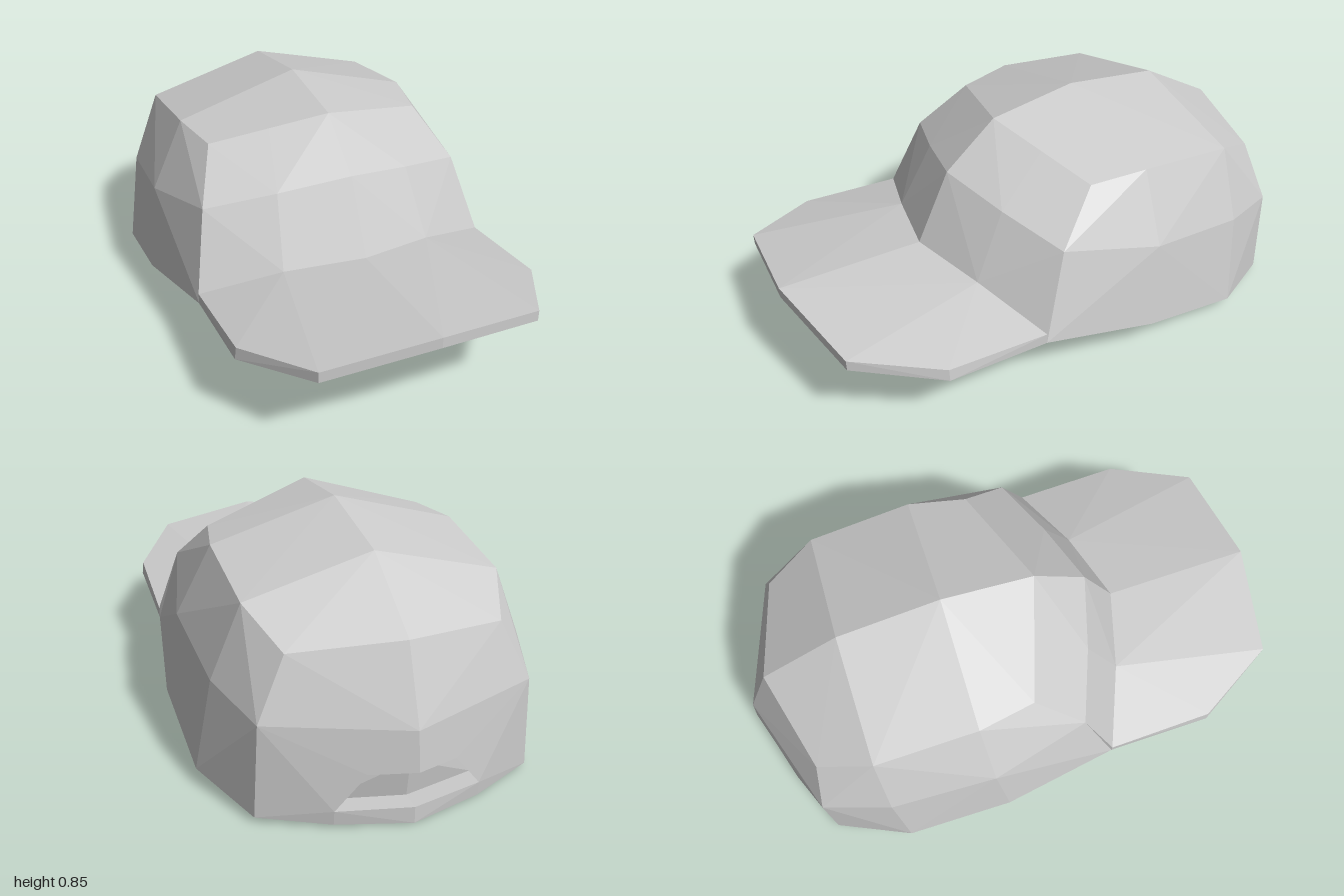
import * as THREE from 'three';

const vec = (a, b) => new THREE.Vector3(b[0] - a[0], b[1] - a[1], b[2] - a[2]);

// Split a polygon into triangles; four-sided ones fold along their outward diagonal
function triangles(p) {
  if (p.length === 4) {
    const height = vec(p[0], p[1]).cross(vec(p[0], p[3])).dot(vec(p[0], p[2]));
    if (height < 0) p = [p[1], p[2], p[3], p[0]];
  }
  return p.slice(2).map((c, i) => [p[0], p[i + 1], c]);
}

// Faceted mesh from polygons of the +x half (counter-clockwise from outside), mirrored to -x
function halfMesh(name, polygons) {
  const pos = [];
  for (const tri of polygons.flatMap(triangles)) {
    for (const v of tri) pos.push(...v);
    for (const v of tri.reverse()) pos.push(-v[0], v[1], v[2]);
  }
  const geo = new THREE.BufferGeometry();
  geo.setAttribute('position', new THREE.Float32BufferAttribute(pos, 3));
  geo.computeVertexNormals();
  const mesh = new THREE.Mesh(geo, new THREE.MeshStandardMaterial({
    color: 0xcccccc, flatShading: true, side: THREE.DoubleSide,
  }));
  mesh.name = name;
  return mesh;
}

// Quads between two matching rows of points
const strip = (low, high) => low.slice(1).map((p, i) => [low[i], p, high[i + 1], high[i]]);

export function createModel() {
  const cap = new THREE.Group();
  cap.name = 'cap';

  // Crown ridge from front to back, and the seam beside it
  const ridge = [[0, 0.81, 0.13], [0, 0.845, -0.21], [0, 0.78, -0.59], [0, 0.6, -0.885]];
  const seam = [[0.41, 0.708, 0], [0.45, 0.715, -0.21], [0.445, 0.66, -0.59], [0.365, 0.565, -0.787]];
  // Middle ring: two side points between the front and back corners, then the back centre
  const mid = [[0.495, 0.55, 0.17], [0.575, 0.465, -0.19], [0.55, 0.4, -0.58], [0.465, 0.355, -0.825]];
  const midBack = [0, 0.34, -0.985];
  // Bottom ring, front corner to back centre
  const base = [[0.56, 0.24, 0.28], [0.62, 0.15, -0.15], [0.605, 0.06, -0.55],
    [0.48, 0.022, -0.82], [0.25, 0.01, -0.92], [0, 0.0, -0.98]];
  // Front panel rows, from the brim joint up to the top
  const joint = [[0, 0.395, 0.46], [0.28, 0.365, 0.385], [0.56, 0.28, 0.28]];
  const frontMid = [[0, 0.655, 0.33], [0.25, 0.605, 0.26], mid[0]];
  const frontTop = [ridge[0], [0.205, 0.759, 0.065], seam[0]];
  // Back opening, top centre round to bottom centre
  const hole = [[0, 0.2, -1.0], [0.15, 0.192, -0.95], [0.25, 0.062, -0.925], [0, 0.06, -0.98]];

  cap.add(halfMesh('crownTop', strip(seam, ridge)));
  cap.add(halfMesh('crownFront', [...strip(joint, frontMid), ...strip(frontMid, frontTop)]));
  cap.add(halfMesh('crownSides', [
    ...strip(mid, seam),
    [mid[0], joint[2], base[0]],
    ...strip(base.slice(0, 4), mid),
  ]));
  cap.add(halfMesh('crownBack', [
    [mid[3], midBack, ridge[3], seam[3]],
    [mid[3], hole[1], hole[0], midBack],
    [mid[3], base[3], hole[2], hole[1]],
  ]));
  cap.add(halfMesh('backStrap', [
    [base[3], base[4], hole[2]],
    [base[4], base[5], hole[3], hole[2]],
  ]));

  // Opening: wall thickness and the panel behind it
  const inner = hole.map(([x, y, z]) => [x, y, z + 0.07]);
  cap.add(halfMesh('openingEdge', strip(inner, hole)));
  cap.add(halfMesh('openingPanel', [[inner[2], inner[3], inner[0], inner[1]]]));

  // Brim: top, outer edge and underside
  const rimTop = [[0, 0.435, 1], [0.39, 0.385, 0.945], [0.555, 0.325, 0.665], joint[2]];
  const rimLow = [[0, 0.395, 1], [0.39, 0.345, 0.945], [0.56, 0.28, 0.665], base[0]];
  const crease = [[0, 0.335, 0.41], [0.4, 0.3, 0.32]];
  cap.add(halfMesh('brim', [
    [joint[1], joint[0], rimTop[0], rimTop[1]],
    [joint[1], rimTop[1], rimTop[2], joint[2]],
    ...strip(rimLow, rimTop),
    [crease[1], rimLow[1], rimLow[0], crease[0]],
    [base[0], rimLow[2], rimLow[1], crease[1]],
  ]));

  // Underside of the crown: a rim around a hollow that rises to a point
  const lip = [crease[1], [0.545, 0.155, -0.14], [0.535, 0.075, -0.51],
    [0.43, 0.03, -0.77], [0.22, 0.02, -0.86], [0, 0.015, -0.91]];
  const hollow = [crease[0], ...lip];
  const apex = [0, 0.37, -0.28];
  cap.add(halfMesh('bottomRim', strip(lip, base)));
  cap.add(halfMesh('bottomHollow', hollow.slice(1).map((p, i) => [apex, p, hollow[i]])));

  return cap;
}
